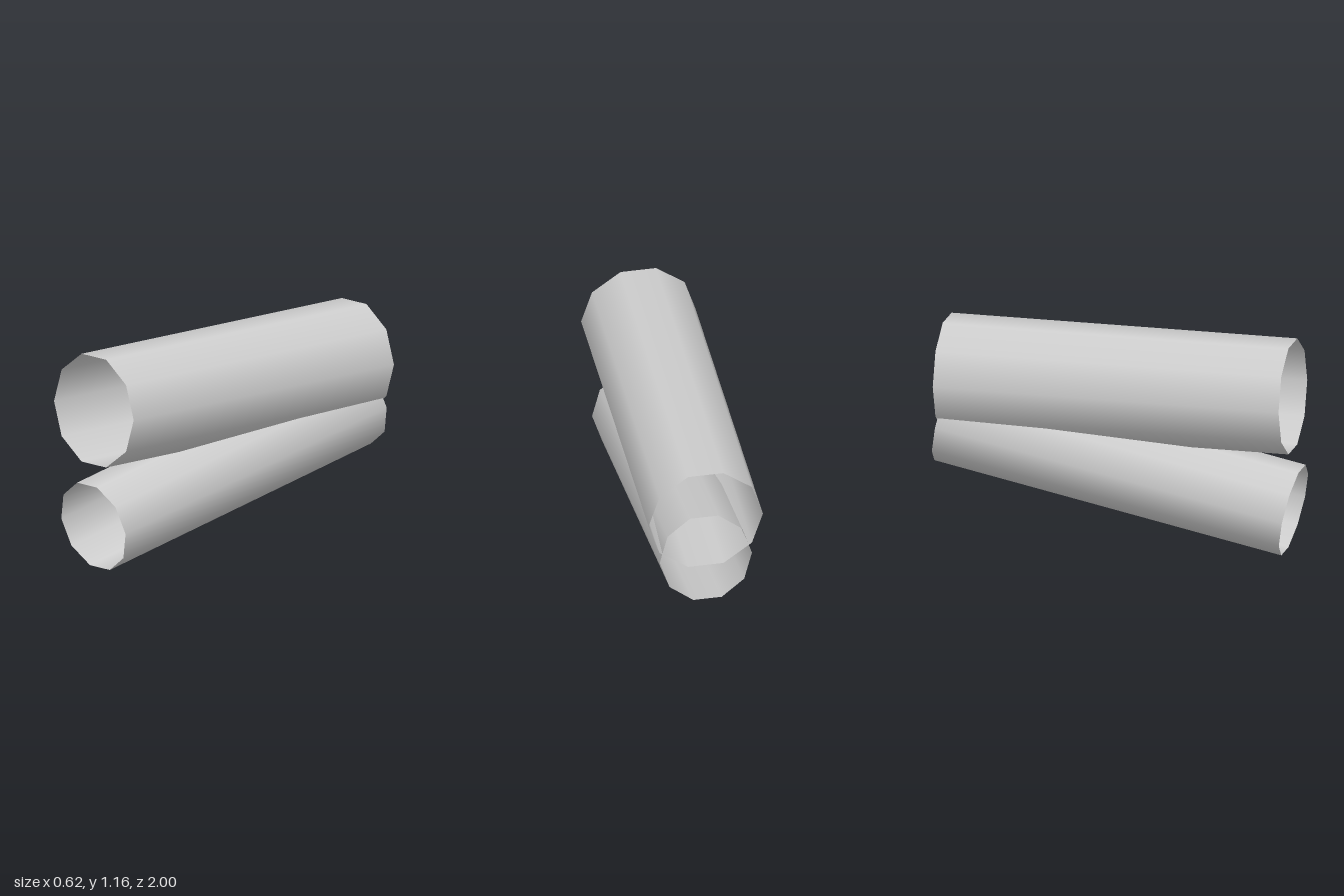
import * as THREE from 'three';

export function createModel() {
  const model = new THREE.Group();
  const grey = new THREE.MeshStandardMaterial({ color: 0xcccccc, side: THREE.DoubleSide });
  grey.name = 'light grey';

  // Open ten-sided tube lying along z, with corners on its left and right
  function tube(name, radius, length, y, tilt) {
    const geometry = new THREE.CylinderGeometry(radius, radius, length, 10, 1, true, Math.PI / 2);
    geometry.rotateX(Math.PI / 2);
    const mesh = new THREE.Mesh(geometry, grey);
    mesh.name = name;
    mesh.position.y = y;
    mesh.rotation.x = tilt;
    model.add(mesh);
  }

  tube('upperTube', 0.31, 1.9, 0.867, 0);
  // The thinner tube slopes down to the front and enters the upper one at the back
  tube('lowerTube', 0.25, 1.945, 0.428, 0.2);

  return model;
}
